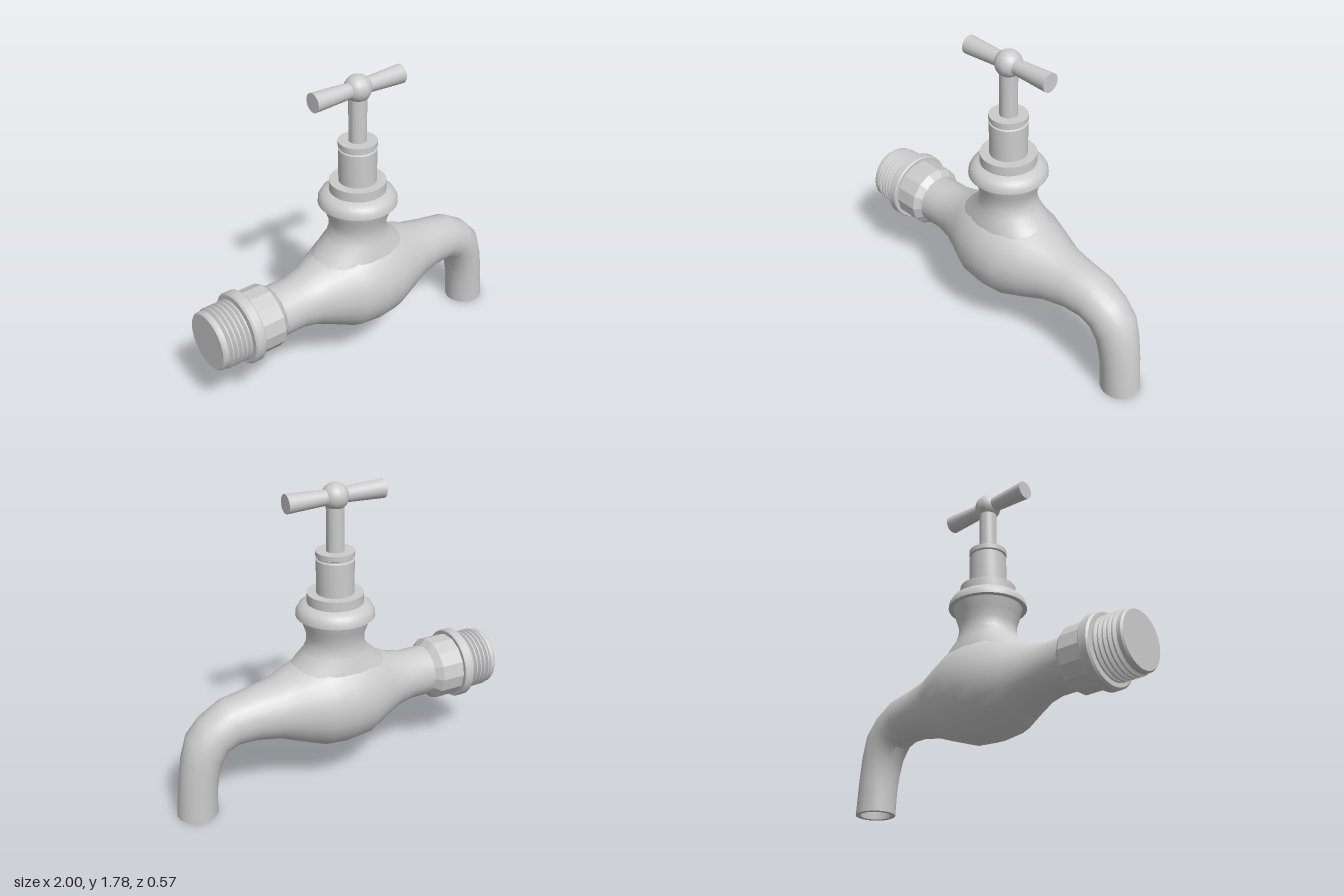
import * as THREE from 'three';
import { toCreasedNormals } from 'three/addons/utils/BufferGeometryUtils.js';

const VALVE_X = 0.01;  // axis of the valve column
const PIPE_Y = 0.535;  // axis of the inlet

const material = new THREE.MeshStandardMaterial({ color: 0xcccccc });

function part(name, geometry, crease = 0.6) {
  const mesh = new THREE.Mesh(toCreasedNormals(geometry, crease), material);
  mesh.name = name;
  return mesh;
}

// profile: [radius, height] pairs from bottom to top
function lathe(profile, sides = 32) {
  return new THREE.LatheGeometry(profile.map(([r, h]) => new THREE.Vector2(r, h)), sides);
}

// upright turned part on the valve axis
function turned(name, profile) {
  return part(name, lathe(profile).translate(VALVE_X, 0, 0));
}

// turned part lying along x; profile heights become x positions
function turnedAlongX(name, profile, y, sides, crease) {
  return part(name, lathe(profile, sides).rotateZ(-Math.PI / 2).translate(0, y, 0), crease);
}

// skin over elliptical sections: [topX, topY, bottomX, bottomY, half depth]
function skin(sections, sides = 24) {
  const positions = [], index = [];
  sections.forEach(([tx, ty, bx, by, rz], i) => {
    for (let j = 0; j < sides; j++) {
      const a = (j / sides) * Math.PI * 2, c = Math.cos(a) / 2;
      positions.push((tx + bx) / 2 + (tx - bx) * c, (ty + by) / 2 + (ty - by) * c, Math.sin(a) * rz);
      if (i === sections.length - 1) continue;
      const k = (j + 1) % sides, p = i * sides, q = p + sides;
      index.push(p + j, p + k, q + j, p + k, q + k, q + j);
    }
  });
  const geometry = new THREE.BufferGeometry();
  geometry.setAttribute('position', new THREE.Float32BufferAttribute(positions, 3));
  geometry.setIndex(index);
  return geometry;
}

export function createModel() {
  const model = new THREE.Group();
  model.name = 'tap';

  // bulbous body running into the bent spout
  const straight = [
    [-0.62, 0.147], [-0.45, 0.147], [-0.35, 0.168], [-0.25, 0.212], [-0.12, 0.272], [0.01, 0.285],
    [0.14, 0.274], [0.28, 0.222], [0.4, 0.174], [0.54, 0.147],
  ].map(([x, r]) => [x, PIPE_Y + r, x, PIPE_Y - r, r]);
  const bend = [
    [0.7, 0.655, 0.64, 0.388, 0.137],
    [0.83, 0.58, 0.695, 0.365, 0.13],
    [0.915, 0.49, 0.735, 0.3, 0.126],
    [0.955, 0.36, 0.755, 0.22, 0.12],
    [0.98, 0.2, 0.765, 0.15, 0.115],
    [1, 0, 0.77, 0, 0.112],
  ];
  // hollow mouth of the spout
  const bore = [
    [0.973, 0, 0.797, 0, 0.087],
    [0.955, 0.19, 0.79, 0.16, 0.085],
    [0.93, 0.35, 0.78, 0.24, 0.085],
    [0.856, 0.295, 0.854, 0.295, 0.001],
  ];
  model.add(part('bodyAndSpout', skin([...straight, ...bend, ...bore])));

  // neck, its foot narrowed in depth to blend into the body
  const neck = lathe([
    [0.33, 0.69], [0.25, 0.765], [0.19, 0.82], [0.163, 0.87], [0.163, 0.92], [0.18, 0.97], [0.2, 1.04],
  ]);
  const pos = neck.attributes.position;
  for (let i = 0; i < pos.count; i++) {
    const t = THREE.MathUtils.clamp((0.87 - pos.getY(i)) / 0.18, 0, 1);
    pos.setZ(i, pos.getZ(i) * (1 - 0.38 * t));
  }
  model.add(part('neck', neck.translate(VALVE_X, 0, 0), 0.8));

  // valve column
  model.add(
    turned('neckFlange', [
      [0.17, 1.035], [0.205, 1.025], [0.222, 1.03], [0.22, 1.055], [0.205, 1.083], [0.18, 1.1], [0.14, 1.112],
    ]),
    turned('bonnetCollar', [[0, 1.1], [0.158, 1.1], [0.158, 1.163], [0, 1.163]]),
    turned('bonnet', [
      [0, 1.15], [0.106, 1.15], [0.106, 1.355], [0.098, 1.36], [0.098, 1.37],
      [0.108, 1.375], [0.108, 1.403], [0, 1.403],
    ]),
    turned('spindle', [[0, 1.39], [0.05, 1.39], [0.05, 1.68], [0, 1.68]]),
  );

  // T handle
  const handle = new THREE.Group();
  handle.name = 'handle';
  handle.add(
    turnedAlongX('handleBar', [
      [0, -0.28], [0.053, -0.28], [0.043, -0.06], [0.043, 0.08], [0.053, 0.3], [0, 0.3],
    ], 1.705, 24),
    part('handleBall', new THREE.SphereGeometry(0.075, 24, 16).translate(VALVE_X, 1.705, 0)),
  );
  model.add(handle);

  // threaded inlet
  const thread = [[0, -1], [0.158, -1], [0.166, -0.99], [0.166, -0.967]];
  for (let i = 0; i < 5; i++) {
    const x = -0.96 + i * 0.028;
    thread.push([0.155, x], [0.174, x + 0.01], [0.174, x + 0.018]);
  }
  thread.push([0.155, -0.82], [0.155, -0.79]);
  model.add(
    turnedAlongX('inletThread', thread, PIPE_Y),
    turnedAlongX('inletRing', [
      [0, -0.822], [0.195, -0.822], [0.205, -0.812], [0.205, -0.765], [0.2, -0.758], [0, -0.758],
    ], PIPE_Y),
    turnedAlongX('facetedNut', [
      [0.15, -0.765], [0.183, -0.765], [0.183, -0.62], [0.146, -0.58],
    ], PIPE_Y, 14, 0.3),
  );

  return model;
}
